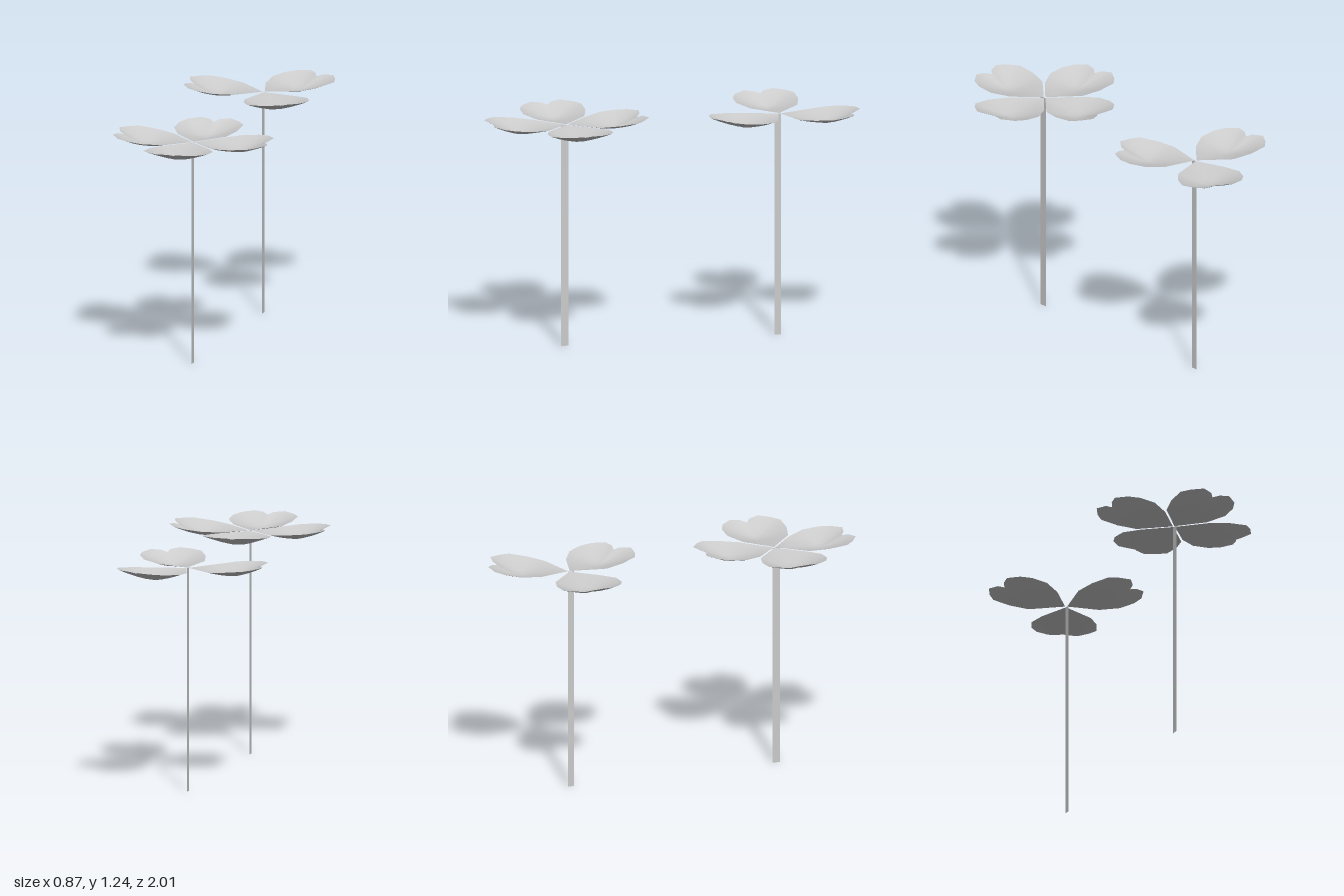
import * as THREE from 'three';

const material = new THREE.MeshStandardMaterial({ color: 0xcccccc, side: THREE.DoubleSide });

// Heart-shaped leaf outline pointing along +x: [x, height, z], starting at the stem
const OUTLINE = [
  [0.006, 1.208, 0], [0.127, 1.212, -0.13], [0.222, 1.222, -0.185], [0.31, 1.23, -0.185],
  [0.37, 1.235, -0.16], [0.418, 1.24, -0.1], [0.407, 1.236, -0.048], [0.386, 1.226, -0.016],
  [0.413, 1.236, 0.005], [0.436, 1.24, 0.063], [0.397, 1.236, 0.122], [0.354, 1.232, 0.16],
  [0.254, 1.222, 0.16], [0.153, 1.212, 0.132],
];
const CENTRE = [0.25, 1.175, -0.01];
const RINGS = 4;

// Shallow cupped leaf: rings growing from the low centre to the raised outline
function leafGeometry() {
  const n = OUTLINE.length;
  const positions = [...CENTRE];
  const index = [];
  for (let r = 1; r <= RINGS; r++) {
    const t = r / RINGS;
    OUTLINE.forEach((p, i) => {
      const rise = Math.pow(t, i === 0 ? 1 : 1.4);
      positions.push(
        CENTRE[0] + (p[0] - CENTRE[0]) * t,
        CENTRE[1] + (p[1] - CENTRE[1]) * rise,
        CENTRE[2] + (p[2] - CENTRE[2]) * t,
      );
      const j = (i + 1) % n;
      const a = 1 + (r - 1) * n + i, b = 1 + (r - 1) * n + j;
      if (r === 1) index.push(0, b, a);
      else index.push(a - n, b - n, b, a - n, b, a);
    });
  }
  const geometry = new THREE.BufferGeometry();
  geometry.setAttribute('position', new THREE.Float32BufferAttribute(positions, 3));
  geometry.setIndex(index);
  geometry.computeVertexNormals();
  return geometry;
}

// One clover: a flat stem strip and a whorl of identical leaves
function clover(name, leafCount, z, stemZ, stemWidth, leafGeo) {
  const group = new THREE.Group();
  group.name = name;
  const height = 1.206;
  const stem = new THREE.Mesh(
    new THREE.PlaneGeometry(stemWidth, height).rotateY(Math.PI / 2).translate(0, height / 2, stemZ - z),
    material,
  );
  stem.name = 'stem';
  group.add(stem);
  for (let i = 0; i < leafCount; i++) {
    const leaf = new THREE.Mesh(leafGeo, material);
    leaf.name = 'leaf' + (i + 1);
    leaf.rotation.y = Math.PI + (i * 2 * Math.PI) / leafCount;
    group.add(leaf);
  }
  group.position.z = z;
  return group;
}

export function createModel() {
  const model = new THREE.Group();
  model.name = 'clovers';
  const leafGeo = leafGeometry();
  model.add(clover('fourLeafClover', 4, 0.555, 0.565, 0.04, leafGeo));
  model.add(clover('threeLeafClover', 3, -0.604, -0.594, 0.035, leafGeo));
  return model;
}
